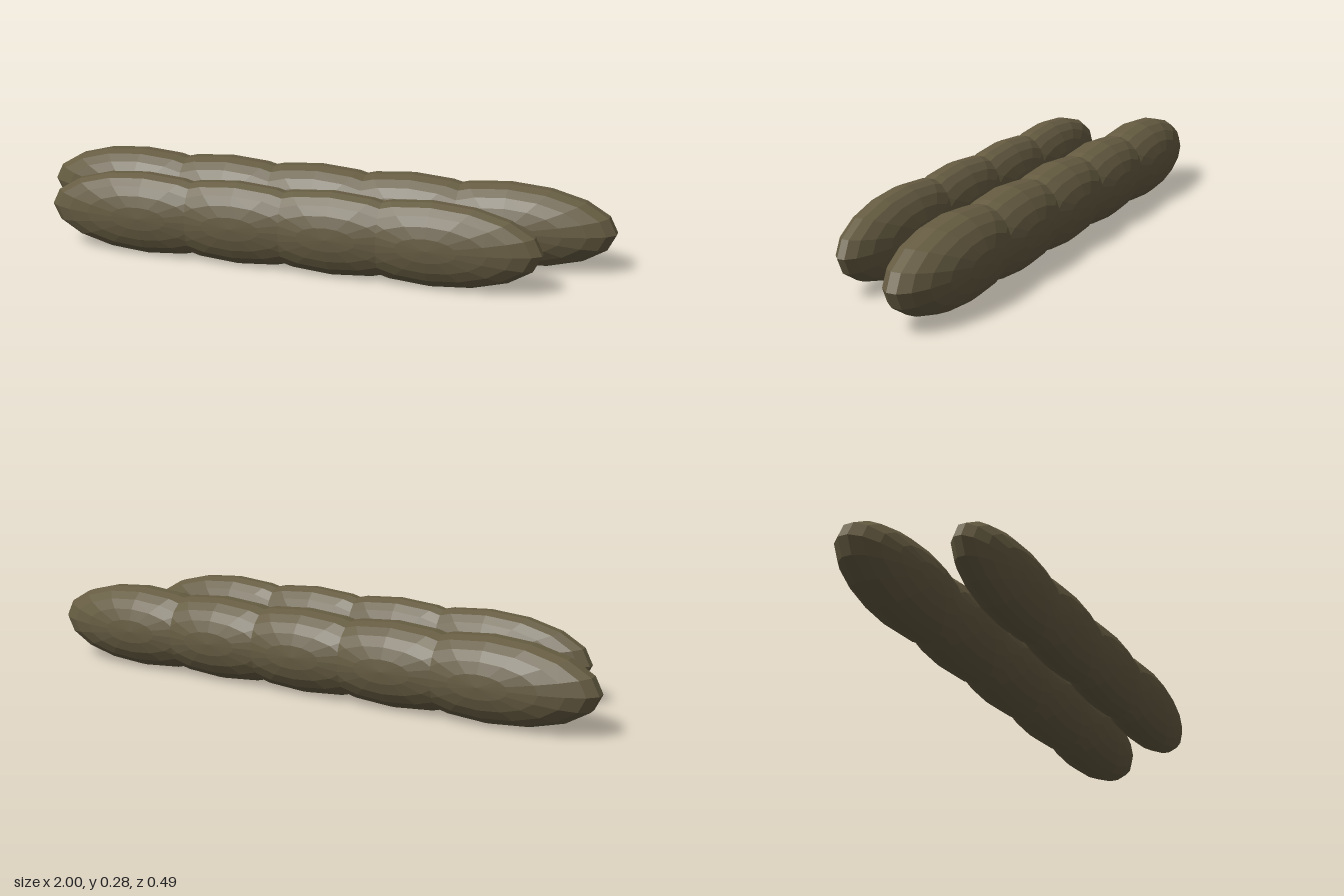
import * as THREE from 'three';

const olive = new THREE.MeshStandardMaterial({ color: 0x665c42, flatShading: true });
olive.name = 'olive canvas';

// One stuffed bag: a faceted ellipsoid with its poles along z
function bagGeometry(halfDepth) {
  return new THREE.SphereGeometry(1, 16, 11)
    .rotateX(Math.PI / 2)
    .scale(0.353, 0.139, halfDepth);
}

// A row of evenly spaced, overlapping bags
function bagRow(name, count, centreX, z, halfDepth) {
  const row = new THREE.Group();
  row.name = name;
  const geometry = bagGeometry(halfDepth);
  for (let i = 0; i < count; i++) {
    const bag = new THREE.Mesh(geometry, olive);
    bag.name = 'bag';
    bag.position.set(centreX + (i - (count - 1) / 2) * 0.325, 0.1376, z);
    row.add(bag);
  }
  return row;
}

export function createModel() {
  const model = new THREE.Group();
  model.name = 'sandbagRows';
  model.add(bagRow('backRow', 5, 0, -0.131, 0.113));
  model.add(bagRow('frontRow', 4, -0.0195, 0.157, 0.088));
  return model;
}
